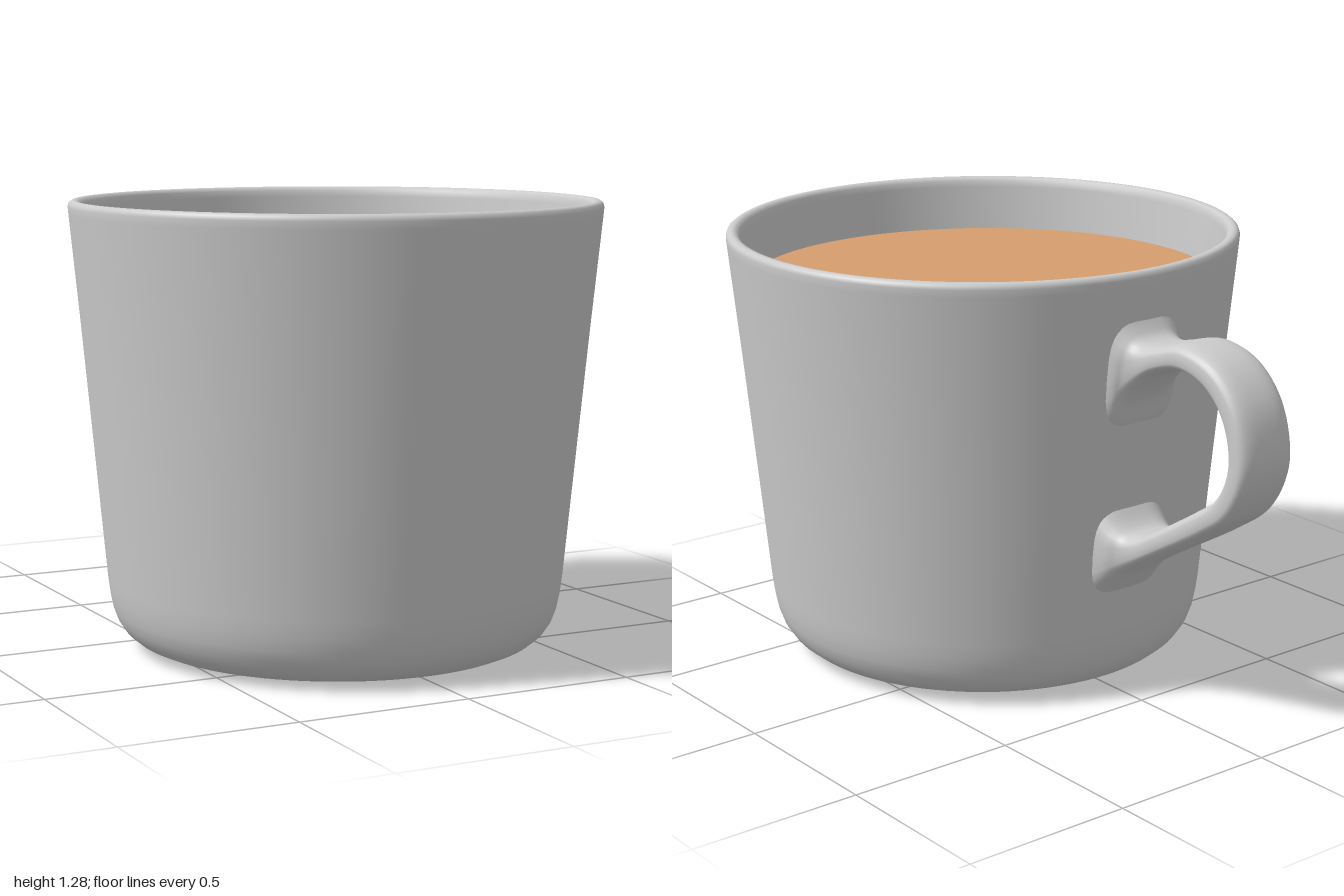
import * as THREE from 'three';

const CUP_Z = 0.24; // the bowl sits forward of centre, the handle reaches back

const ceramic = new THREE.MeshStandardMaterial({ color: 0xcccccc });
ceramic.name = 'greyCeramic';
const coffee = new THREE.MeshStandardMaterial({ color: 0xd69d6d });
coffee.name = 'milkyCoffee';

const v2 = (list) => list.map(([a, b]) => new THREE.Vector2(a, b));

// Thin-walled tapered bowl: under the base, up the outside, over the rim, down the inside
function makeBowl() {
  const profile = v2([
    [0, 0], [0.3, 0], [0.46, 0.001], [0.51, 0.005], [0.55, 0.013], [0.582, 0.027],
    [0.61, 0.05], [0.63, 0.08], [0.643, 0.115], [0.651, 0.155], [0.657, 0.2],
    [0.69, 0.55], [0.725, 0.92], [0.757, 1.24], [0.759, 1.262], [0.756, 1.273],
    [0.748, 1.279], [0.738, 1.28], [0.728, 1.277], [0.721, 1.268], [0.718, 1.25],
    [0.705, 1.115], [0.65, 0.55], [0.615, 0.2], [0.58, 0.1], [0.48, 0.05], [0, 0.045],
  ]);
  const mesh = new THREE.Mesh(new THREE.LatheGeometry(profile, 96), ceramic);
  mesh.name = 'bowl';
  mesh.position.z = CUP_Z;
  return mesh;
}

// Drink surface
function makeDrink() {
  const mesh = new THREE.Mesh(new THREE.CircleGeometry(0.706, 96), coffee);
  mesh.name = 'drinkSurface';
  mesh.rotation.x = -Math.PI / 2;
  mesh.position.set(0, 1.115, CUP_Z);
  return mesh;
}

// Handle: rounded cross-sections swept between an outer and an inner edge, flared at the wall
function makeHandle() {
  // outer z, outer y, inner z, inner y, half width
  const stations = [
    [-0.488, 1.17, -0.452, 0.79, 0.13],
    [-0.516, 1.125, -0.478, 0.84, 0.118],
    [-0.54, 1.1, -0.503, 0.91, 0.104],
    [-0.575, 1.09, -0.545, 0.965, 0.096],
    [-0.63, 1.1, -0.605, 1.01, 0.094],
    [-0.735, 1.125, -0.72, 1.045, 0.094],
    [-0.865, 1.093, -0.82, 1.02, 0.094],
    [-0.96, 1, -0.886, 0.955, 0.094],
    [-1, 0.86, -0.915, 0.86, 0.094],
    [-0.984, 0.77, -0.902, 0.785, 0.094],
    [-0.93, 0.68, -0.86, 0.722, 0.094],
    [-0.83, 0.607, -0.785, 0.67, 0.094],
    [-0.65, 0.5, -0.615, 0.565, 0.094],
    [-0.56, 0.446, -0.558, 0.536, 0.096],
    [-0.495, 0.402, -0.515, 0.532, 0.104],
    [-0.455, 0.36, -0.482, 0.55, 0.118],
    [-0.407, 0.3, -0.436, 0.6, 0.13],
  ];
  const outer = new THREE.CatmullRomCurve3(stations.map((s) => new THREE.Vector3(s[4], s[1], s[0])));
  const inner = new THREE.CatmullRomCurve3(stations.map((s) => new THREE.Vector3(s[4], s[3], s[2])));
  const rings = 96;
  const sides = 32;
  const round = (t) => Math.sign(t) * Math.pow(Math.abs(t), 0.62);
  const positions = [];
  const index = [];
  for (let i = 0; i <= rings; i++) {
    const a = outer.getPoint(i / rings);
    const b = inner.getPoint(i / rings);
    for (let j = 0; j < sides; j++) {
      const angle = (j / sides) * Math.PI * 2;
      const s = (1 + round(Math.sin(angle))) / 2;
      positions.push(a.x * round(Math.cos(angle)), b.y + (a.y - b.y) * s, b.z + (a.z - b.z) * s);
      if (i < rings) {
        const p = i * sides + j;
        const q = i * sides + ((j + 1) % sides);
        index.push(p, p + sides, q, q, p + sides, q + sides);
      }
    }
  }
  const geometry = new THREE.BufferGeometry();
  geometry.setAttribute('position', new THREE.Float32BufferAttribute(positions, 3));
  geometry.setIndex(index);
  geometry.computeVertexNormals();
  const mesh = new THREE.Mesh(geometry, ceramic);
  mesh.name = 'handle';
  return mesh;
}

export function createModel() {
  const group = new THREE.Group();
  group.name = 'coffeeCup';
  group.add(makeBowl(), makeDrink(), makeHandle());
  return group;
}
